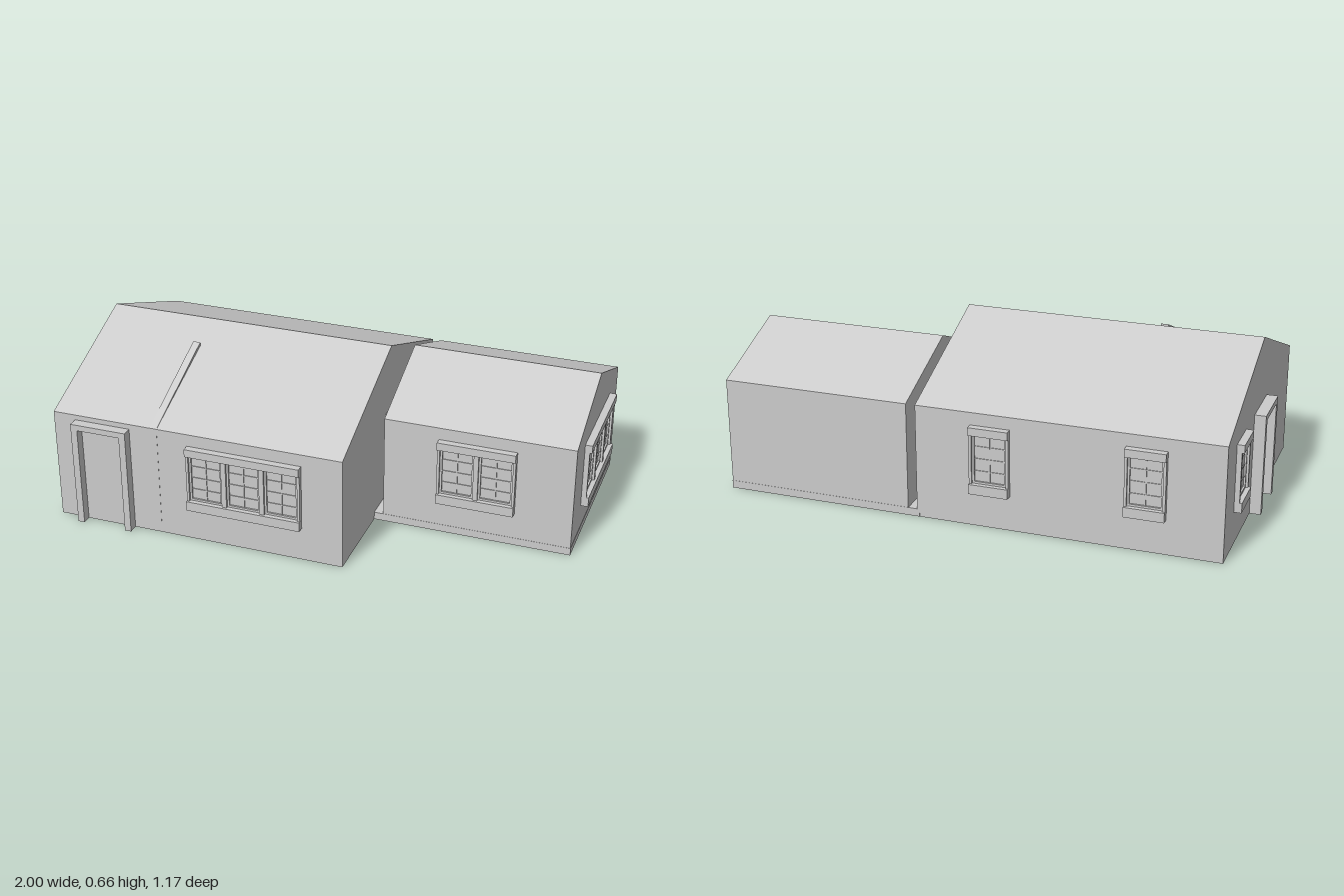
import * as THREE from 'three';

const wallMat = new THREE.MeshStandardMaterial({ color: 0xcccccc, flatShading: true });
const glassMat = new THREE.MeshStandardMaterial({ color: 0xe4e4e4 });

// Box given by its min and max corners
function block(parent, name, x0, x1, y0, y1, z0, z1, mat = wallMat) {
  const mesh = new THREE.Mesh(new THREE.BoxGeometry(x1 - x0, y1 - y0, z1 - z0), mat);
  mesh.position.set((x0 + x1) / 2, (y0 + y1) / 2, (z0 + z1) / 2);
  mesh.name = name;
  parent.add(mesh);
}

// Extrudes a [z, y] outline along x from x0 to x1
function profileAlongX(parent, name, points, x0, x1) {
  const shape = new THREE.Shape(points.map(([z, y]) => new THREE.Vector2(-z, y)));
  const geo = new THREE.ExtrudeGeometry(shape, { depth: x1 - x0, bevelEnabled: false });
  geo.rotateY(Math.PI / 2);
  geo.translate(x0, 0, 0);
  const mesh = new THREE.Mesh(geo, wallMat);
  mesh.name = name;
  parent.add(mesh);
}

// Group on a wall: local x runs along the wall, local z points outward
function mount(parent, name, x, z, angle) {
  const g = new THREE.Group();
  g.name = name;
  g.position.set(x, 0, z);
  g.rotation.y = angle;
  parent.add(g);
  return g;
}

// Window of n sashes with header, sill, posts and glazing bars
function addWindow(parent, name, n, x, z, angle) {
  const g = mount(parent, name, x, z, angle);
  const pane = 0.131, post = 0.019, edge = 0.01;
  const w = n * pane + (n - 1) * post + 2 * edge;
  const y0 = 0.173, y1 = 0.364;
  block(g, 'header', -w / 2, w / 2, y1, 0.395, -0.005, 0.028);
  block(g, 'sill', -w / 2, w / 2, 0.135, y0, -0.005, 0.028);
  for (const s of [-1, 1]) {
    const c = s * (w / 2 - edge / 2);
    block(g, 'jamb', c - edge / 2, c + edge / 2, y0, y1, -0.005, 0.019);
  }
  for (let i = 0; i < n; i++) {
    const a = -w / 2 + edge + i * (pane + post), b = a + pane;
    if (i > 0) block(g, 'mullion', a - post, a, y0, y1, -0.005, 0.019);
    block(g, 'glass', a, b, y0, y1, -0.004, 0.003, glassMat);
    // sash border
    for (const c of [a, b - 0.008]) block(g, 'sashStile', c, c + 0.008, y0, y1, 0, 0.01);
    for (const c of [y0, y1 - 0.008]) block(g, 'sashRail', a + 0.008, b - 0.008, c, c + 0.008, 0, 0.01);
    // glazing bars
    const m = (a + b) / 2;
    block(g, 'verticalBar', m - 0.002, m + 0.002, y0, y1, 0, 0.007);
    for (let r = 1; r < 4; r++) {
      const y = y0 + (r * (y1 - y0)) / 4;
      block(g, 'horizontalBar', a, b, y - 0.002, y + 0.002, 0, 0.006);
    }
  }
}

// Door surround: two posts and a lintel around a flush door leaf
function addDoor(parent, name, width, height, depth, x, z, angle) {
  const g = mount(parent, name, x, z, angle);
  const h = width / 2, t = 0.026;
  block(g, 'post', -h, -h + t, 0, height, -0.005, depth);
  block(g, 'post', h - t, h, 0, height, -0.005, depth);
  block(g, 'lintel', -h + t, h - t, height - 0.023, height, -0.005, depth);
  block(g, 'doorLeaf', -h + t, h - t, 0, height - 0.023, -0.005, 0.002);
}

export function createModel() {
  const house = new THREE.Group();
  house.name = 'house';
  const back = -0.557, eave = 0.443, frontMain = 0.545, frontWing = 0.18;
  const right = -Math.PI / 2, left = Math.PI / 2, rear = Math.PI;

  // Gabled volumes
  const gable = (front, ridgeZ, ridgeY) =>
    [[front, 0], [back, 0], [back, eave], [ridgeZ, ridgeY], [front, eave]];
  profileAlongX(house, 'mainBuilding', gable(frontMain, -0.005, 0.658), -0.957, 0.2);
  profileAlongX(house, 'sideWing', gable(frontWing, -0.188, 0.586), 0.236, 0.97);

  // Floor slab under the wing, bridging the narrow gap
  block(house, 'floorSlab', 0.19, 0.971, 0, 0.03, back - 0.001, frontWing + 0.001);

  // Thin strip running up the front wall and the roof
  profileAlongX(house, 'roofStrip',
    [[0.546, 0.04], [0.546, 0.444], [0.135, 0.617], [0.135, 0.58], [0.52, 0.42], [0.52, 0.04]],
    -0.559, -0.53);

  // Doors
  addDoor(house, 'frontDoor', 0.225, 0.423, 0.039, -0.756, frontMain, 0);
  addDoor(house, 'sideDoor', 0.22, 0.395, 0.043, -0.957, -0.01, right);
  addDoor(house, 'connectingDoor', 0.215, 0.395, 0.036, 0.2, -0.053, left);

  // Windows
  addWindow(house, 'frontTripleWindow', 3, -0.184, frontMain, 0);
  addWindow(house, 'wingFrontWindow', 2, 0.6, frontWing, 0);
  addWindow(house, 'wingEndWindow', 3, 0.97, -0.188, left);
  addWindow(house, 'sideWindow', 1, -0.957, -0.339, right);
  for (const x of [-0.672, -0.09]) addWindow(house, 'rearWindow', 1, x, back, rear);

  return house;
}
